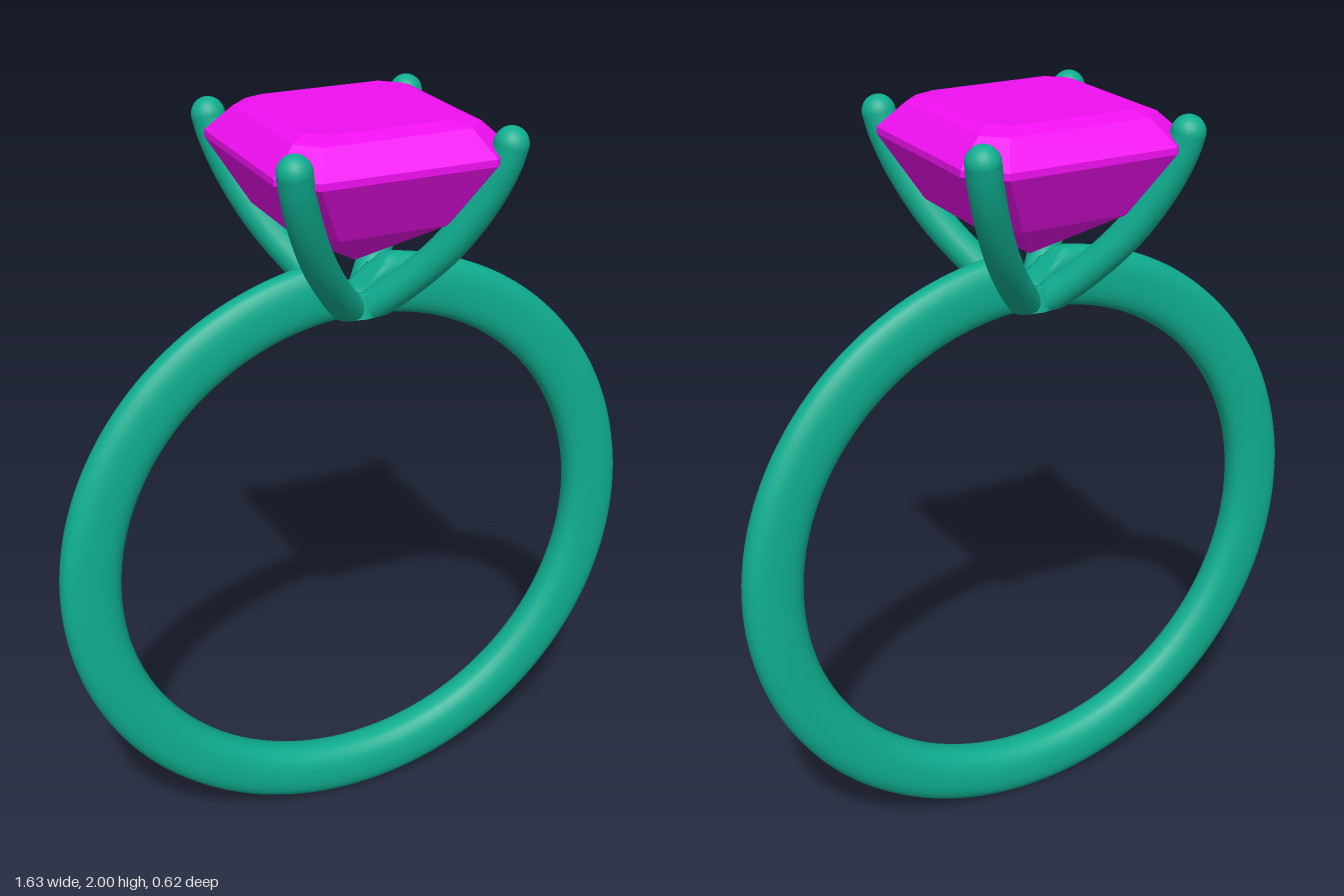
import * as THREE from 'three';
import { mergeVertices } from 'three/addons/utils/BufferGeometryUtils.js';
import { ConvexGeometry } from 'three/addons/geometries/ConvexGeometry.js';

const metal = new THREE.MeshStandardMaterial({ color: 0x0fae90 });
const stone = new THREE.MeshStandardMaterial({ color: 0xf010f0, flatShading: true });

// Weld seams and rebuild smooth normals after moving vertices
function smooth(geometry) {
  geometry.deleteAttribute('uv');
  geometry.deleteAttribute('normal');
  const g = mergeVertices(geometry, 1e-5);
  g.computeVertexNormals();
  return g;
}

// Finger band: soft oval section, thinner towards the top, notched under the stone
function makeBand() {
  const R = 0.737, half = 0.078, centreY = 0.818;
  const g = new THREE.TorusGeometry(R, half, 24, 192);
  const p = g.attributes.position;
  const soft = (t) => Math.sign(t) * Math.pow(Math.abs(t), 0.82);
  for (let i = 0; i < p.count; i++) {
    const x = p.getX(i), y = p.getY(i);
    const u = Math.atan2(y, x);
    const v = Math.atan2(p.getZ(i), Math.hypot(x, y) - R);
    const halfZ = 0.050 - 0.008 * Math.sin(u);
    const r = R + half * soft(Math.cos(v));
    const nx = r * Math.cos(u);
    let ny = r * Math.sin(u) + centreY;
    if (ny > 1) ny = Math.min(ny, 1.55 + 0.9 * Math.abs(nx));
    p.setXYZ(i, nx, ny, halfZ * soft(Math.sin(v)));
  }
  return new THREE.Mesh(smooth(g), metal);
}

// One claw: curved rod with a ball tip, cut level at its foot
function makeProng(sx, sz) {
  const radius = 0.042, foot = 1.487;
  const path = [
    [0.015, 1.49], [0.095, 1.58], [0.172, 1.69], [0.23, 1.81], [0.26, 1.9], [0.27, 1.948],
  ].map(([d, y]) => new THREE.Vector3(d * sx, y, d * sz));
  const g = new THREE.TubeGeometry(new THREE.CatmullRomCurve3(path), 32, radius, 16);
  const p = g.attributes.position;
  for (let i = 0; i < p.count; i++) p.setY(i, Math.max(p.getY(i), foot));
  const prong = new THREE.Group();
  const rod = new THREE.Mesh(smooth(g), metal);
  rod.name = 'prongRod';
  const tip = new THREE.Mesh(new THREE.SphereGeometry(radius, 20, 14), metal);
  tip.name = 'prongTip';
  tip.position.copy(path[path.length - 1]);
  prong.add(rod, tip);
  return prong;
}

// Step-cut stone: cut-corner squares stacked from table to point
function makeStone() {
  const steps = [ // height, half width, half length of the straight edge
    [2.0, 0.2, 0.157], [1.985, 0.237, 0.185], [1.925, 0.3, 0.22],
    [1.908, 0.3, 0.22], [1.755, 0.215, 0.14],
  ];
  const points = [new THREE.Vector3(0, 1.62, 0)];
  for (const [y, w, e] of steps)
    for (const sx of [-1, 1])
      for (const sz of [-1, 1])
        points.push(new THREE.Vector3(sx * w, y, sz * e), new THREE.Vector3(sx * e, y, sz * w));
  return new THREE.Mesh(new ConvexGeometry(points), stone);
}

export function createModel() {
  const ring = new THREE.Group();
  ring.name = 'ring';

  const band = makeBand();
  band.name = 'band';
  ring.add(band);

  // Level base where the four claws meet
  const base = new THREE.Mesh(new THREE.CylinderGeometry(0.06, 0.07, 0.06, 16), metal);
  base.name = 'settingBase';
  base.position.y = 1.517;
  ring.add(base);

  for (const sx of [-1, 1])
    for (const sz of [-1, 1]) {
      const prong = makeProng(sx, sz);
      prong.name = (sz > 0 ? 'front' : 'back') + (sx > 0 ? 'Left' : 'Right') + 'Prong';
      ring.add(prong);
    }

  const gem = makeStone();
  gem.name = 'gemstone';
  ring.add(gem);
  return ring;
}
